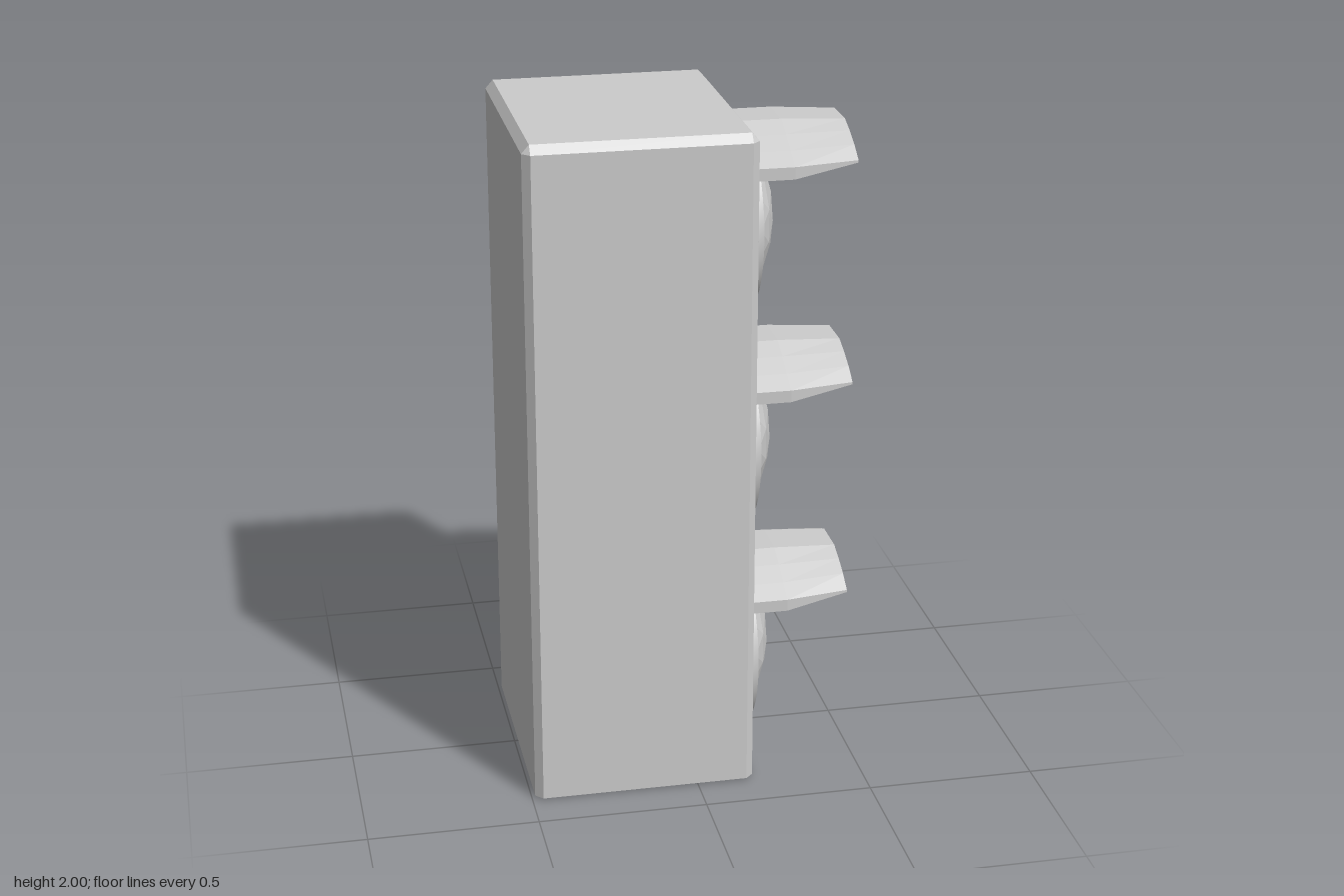
import * as THREE from 'three';
import { toCreasedNormals } from 'three/addons/utils/BufferGeometryUtils.js';
import { ConvexGeometry } from 'three/addons/geometries/ConvexGeometry.js';

const smooth = new THREE.MeshStandardMaterial({ color: 0xcccccc });
const flat = new THREE.MeshStandardMaterial({ color: 0xcccccc, flatShading: true });

function part(name, geometry, material) {
  const mesh = new THREE.Mesh(geometry, material);
  mesh.name = name;
  return mesh;
}

// Box with bevelled edges: hull of the inset corners of its six faces
function housingGeometry() {
  const hx = 0.33, hz = 0.38, b = 0.022, bottom = 0.006;
  const points = [];
  for (const sx of [-1, 1]) for (const sz of [-1, 1]) {
    for (const [y, inset] of [[0, bottom], [2, 0.025]]) {
      const inner = y === 0 ? inset : 2 - inset;
      points.push(
        new THREE.Vector3(sx * (hx - b), y, sz * (hz - b)),
        new THREE.Vector3(sx * hx, inner, sz * (hz - b)),
        new THREE.Vector3(sx * (hx - b), inner, sz * hz));
    }
  }
  return new ConvexGeometry(points).translate(-0.16, 0, 0);
}

// Raised bezel around a lens, turned to face +x
function bezelGeometry() {
  const profile = [[0.3, 0.16], [0.3, 0.18], [0.283, 0.188], [0.28, 0.205], [0.26, 0.205], [0.23, 0.165]]
    .map(([r, h]) => new THREE.Vector2(r, h));
  const g = new THREE.LatheGeometry(profile, 40).rotateZ(-Math.PI / 2);
  return toCreasedNormals(g, 0.5);
}

// Arched visor lofted through closed sections, thinning toward the tip
function visorGeometry() {
  const z = [0.245, 0.19, 0.13, 0.068];
  const baseOuter = [0.193, 0.225, 0.257, 0.286];
  const baseInner = [0.157, 0.175, 0.207, 0.241];
  const tipOuter = [0.195, 0.228, 0.254, 0.275];
  const tipInner = tipOuter.map(y => y - 0.007);
  const stations = [
    [0.165, 1, baseOuter, baseInner],
    [0.3, 1, baseOuter, baseInner],
    [0.49, 0.89, tipOuter, tipInner],
  ];
  const pos = [], idx = [], n = 16;
  for (const [x, s, outer, inner] of stations) {
    const arch = ys => [...ys.map((y, i) => [x, y, z[i] * s]),
      ...ys.map((y, i) => [x, y, -z[i] * s]).reverse()];
    pos.push(...[...arch(outer), ...arch(inner).reverse()].flat());
  }
  const quad = (a, b, c, d) => idx.push(a, b, c, a, c, d);
  for (let i = 0; i < stations.length - 1; i++) {
    for (let j = 0; j < n; j++) {
      const k = (j + 1) % n;
      quad(i * n + j, (i + 1) * n + j, (i + 1) * n + k, i * n + k);
    }
  }
  // Tip end face
  const t = (stations.length - 1) * n;
  for (let k = 0; k < n / 2 - 1; k++) quad(t + k, t + 15 - k, t + 14 - k, t + k + 1);
  const g = new THREE.BufferGeometry();
  g.setAttribute('position', new THREE.Float32BufferAttribute(pos, 3));
  g.setIndex(idx);
  g.computeVertexNormals();
  return g;
}

export function createModel() {
  const model = new THREE.Group();
  model.name = 'trafficLight';
  model.add(part('housing', housingGeometry(), flat));

  const bezel = bezelGeometry();
  const visor = visorGeometry();
  // Shallow faceted dome
  const lens = new THREE.IcosahedronGeometry(1, 2).scale(0.113, 0.238, 0.238).translate(0.17, 0.003, 0);

  ['bottom', 'middle', 'top'].forEach((level, i) => {
    const lamp = new THREE.Group();
    lamp.name = level + 'Lamp';
    lamp.position.y = 0.328 + 0.67 * i;
    const ring = part('bezel', bezel, smooth);
    ring.position.y = -0.005;
    lamp.add(ring, part('lens', lens, flat), part('visor', visor, flat));
    model.add(lamp);
  });
  return model;
}
